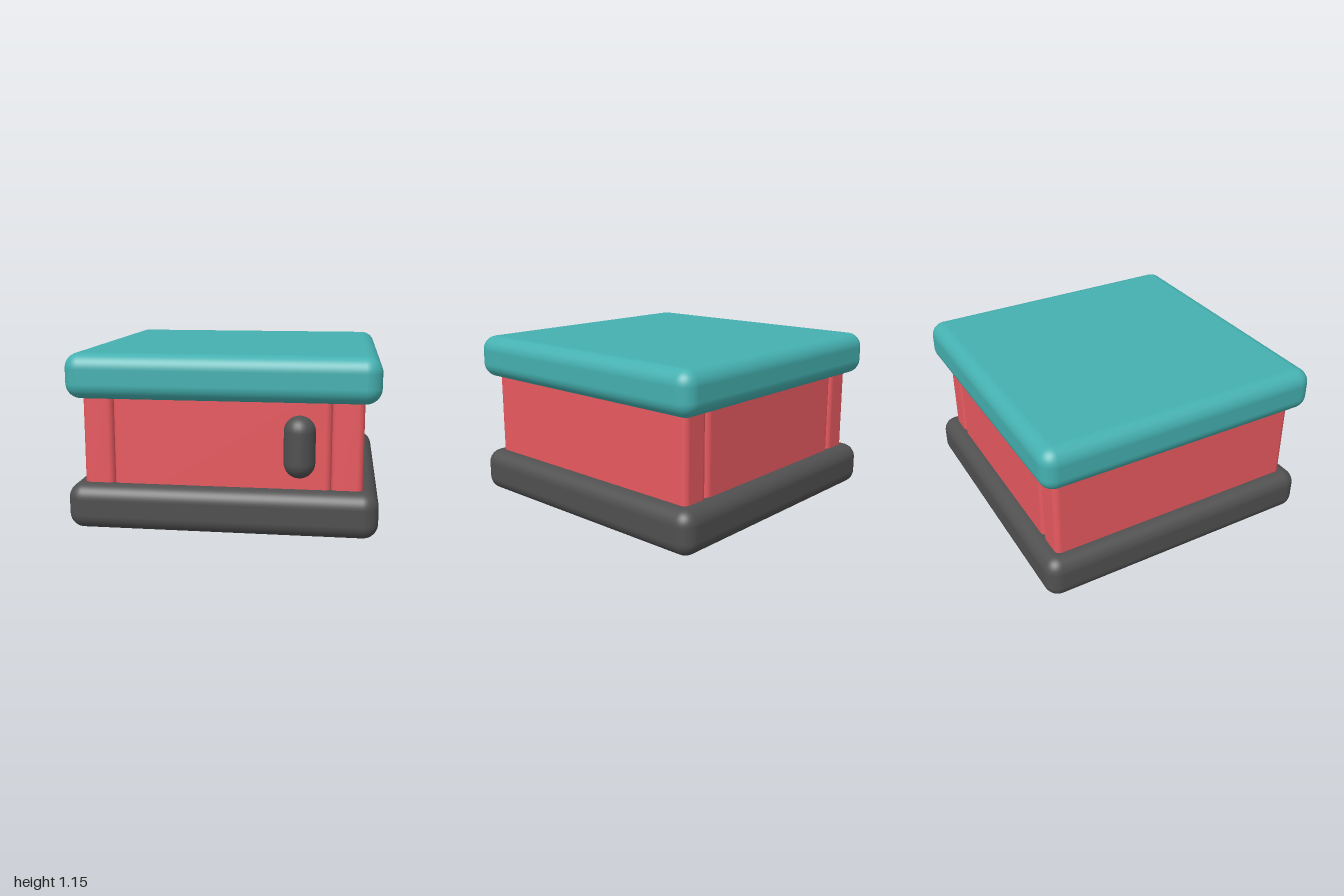
import * as THREE from 'three';
import { RoundedBoxGeometry } from 'three/addons/geometries/RoundedBoxGeometry.js';

const material = (color) => new THREE.MeshStandardMaterial({ color });

export function createModel() {
  const model = new THREE.Group();
  model.name = 'cabinet';
  const teal = material(0x45b0b0);
  const red = material(0xe85a60);
  const dark = material(0x505050);

  // Rounded block given by its size, centre and edge radius
  function block(name, [w, h, d], [x, y, z], radius, mat, parent = model) {
    const mesh = new THREE.Mesh(new RoundedBoxGeometry(w, h, d, 6, radius), mat);
    mesh.name = name;
    mesh.position.set(x, y, z);
    parent.add(mesh);
    return mesh;
  }

  // Base: open frame of four rounded bars crossing at the corners
  const base = new THREE.Group();
  base.name = 'baseFrame';
  model.add(base);
  for (const s of [-1, 1]) {
    block(s > 0 ? 'frontBar' : 'backBar', [2, 0.3, 0.2], [0, 0.15, s * 0.9], 0.098, dark, base);
    block(s > 0 ? 'leftBar' : 'rightBar', [0.2, 0.3, 2], [s * 0.9, 0.15, 0], 0.098, dark, base);
  }

  // Body: central block between two full-depth side walls
  block('body', [1.4, 0.9, 1.8], [0, 0.55, 0], 0.04, red);
  for (const s of [-1, 1]) {
    block(s > 0 ? 'leftWall' : 'rightWall', [0.2, 0.9, 1.8], [s * 0.8, 0.55, 0], 0.04, red);
  }

  // Lid
  block('lid', [2, 0.295, 2], [0, 1.0025, 0], 0.1, teal);

  // Handle: upright capsule half sunk into the front
  const handle = new THREE.Mesh(new THREE.CapsuleGeometry(0.1, 0.2, 8, 24), dark);
  handle.name = 'handle';
  handle.position.set(0.5, 0.575, 0.9);
  model.add(handle);

  return model;
}
